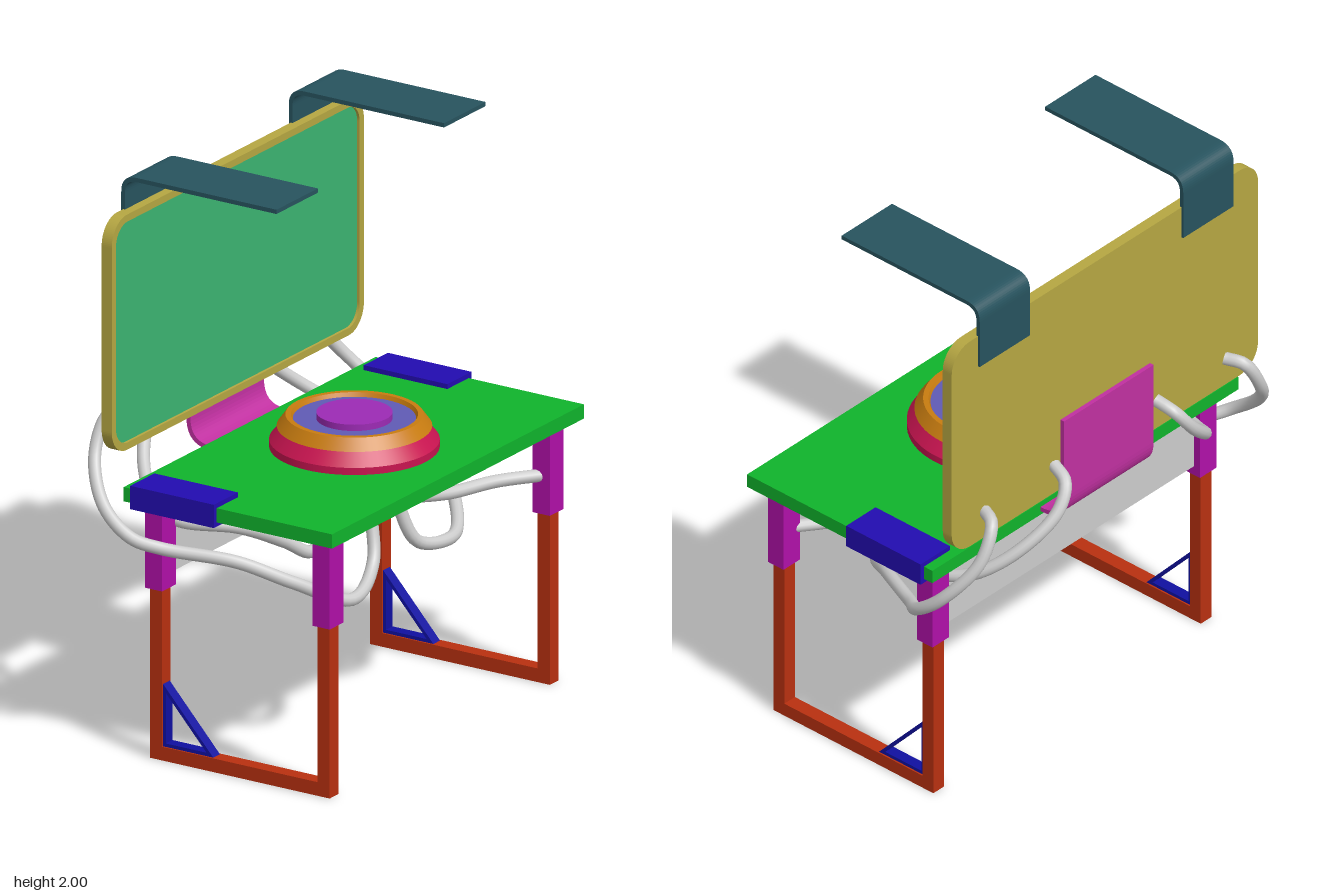
import * as THREE from 'three';

const mat = (color) => new THREE.MeshStandardMaterial({ color, side: THREE.DoubleSide });
const M = {
  desk: mat(0x10b32c), frame: mat(0xb5a642), screen: mat(0x3cb371), arm: mat(0x27535e),
  mount: mat(0xc030a0), clamp: mat(0x220cb0), sleeve: mat(0xb010a8), leg: mat(0xb83010),
  brace: mat(0x1010a0), crimson: mat(0xc81450), orange: mat(0xc87c10), disc: mat(0x605ab4),
  hub: mat(0x9c2ab4), grey: mat(0xcccccc),
};

export function createModel() {
  const root = new THREE.Group();

  const add = (name, geometry, material, parent = root) => {
    const mesh = new THREE.Mesh(geometry, material);
    mesh.name = name;
    parent.add(mesh);
    return mesh;
  };
  // box given by its extents on each axis
  const box = (name, [x0, x1], [y0, y1], [z0, z1], material, parent) => {
    const mesh = add(name, new THREE.BoxGeometry(x1 - x0, y1 - y0, z1 - z0), material, parent);
    mesh.position.set((x0 + x1) / 2, (y0 + y1) / 2, (z0 + z1) / 2);
    return mesh;
  };
  const extrude = (shape, depth) =>
    new THREE.ExtrudeGeometry(shape, { depth, bevelEnabled: false, curveSegments: 12 });

  // strip that rises or drops from y0, then bends to run along y1 out to x1
  const bentStrip = (x0, x1, y0, y1, r, t, width) => {
    const s = Math.sign(y1 - y0);
    const p = new THREE.Shape();
    p.moveTo(x0, y0);
    p.lineTo(x0, y1 - s * r);
    p.quadraticCurveTo(x0, y1, x0 + r, y1);
    p.lineTo(x1, y1);
    p.lineTo(x1, y1 - s * t);
    p.lineTo(x0 + r, y1 - s * t);
    p.quadraticCurveTo(x0 + t, y1 - s * t, x0 + t, y1 - s * r);
    p.lineTo(x0 + t, y0);
    p.closePath();
    return extrude(p, width).translate(0, 0, -width / 2);
  };

  const roundedRect = (w, h, r, Type = THREE.Shape) => {
    const p = new Type();
    p.absarc(w / 2 - r, h / 2 - r, r, 0, Math.PI / 2);
    p.absarc(-w / 2 + r, h / 2 - r, r, Math.PI / 2, Math.PI);
    p.absarc(-w / 2 + r, -h / 2 + r, r, Math.PI, Math.PI * 1.5);
    p.absarc(w / 2 - r, -h / 2 + r, r, Math.PI * 1.5, Math.PI * 2);
    p.closePath();
    return p;
  };

  // desk top and the panel between the rear legs
  box('deskTop', [-0.315, 0.51], [0.91, 0.96], [-0.752, 0.752], M.desk);
  box('modestyPanel', [-0.24, -0.225], [0.635, 0.88], [-0.62, 0.62], M.grey);

  // upright screen: rim, back and recessed panel
  const display = new THREE.Group();
  display.name = 'display';
  display.rotation.y = Math.PI / 2;
  display.position.set(-0.402, 1.467, 0);
  root.add(display);
  const rim = roundedRect(1.505, 0.826, 0.09);
  rim.holes.push(roundedRect(1.455, 0.776, 0.07, THREE.Path));
  add('displayRim', extrude(rim, 0.04), M.frame, display);
  add('displayBack', extrude(roundedRect(1.5, 0.82, 0.088), 0.02), M.frame, display);
  add('displayPanel', extrude(roundedRect(1.456, 0.777, 0.07), 0.008), M.screen, display)
    .position.z = 0.022;

  // curved bracket joining the screen to the desk
  add('screenMount', bentStrip(-0.42, -0.28, 1.335, 0.925, 0.1, 0.016, 0.44), M.mount);

  // dial unit set into the desk
  const dial = new THREE.Group();
  dial.name = 'dial';
  dial.position.set(0.1, 0, 0);
  root.add(dial);
  const lathe = (name, pts, material) => {
    // each straight run gets its own surface so the edges stay crisp
    const part = new THREE.Group();
    part.name = name;
    dial.add(part);
    for (let i = 0; i < pts.length - 1; i++) {
      const run = [pts[i], pts[i + 1]].map(([r, y]) => new THREE.Vector2(r, y));
      add(name, new THREE.LatheGeometry(run, 64), material, part);
    }
  };
  lathe('dialFlange', [[0.25, 0.91], [0.25, 0.88], [0.285, 0.88], [0.285, 0.915]], M.sleeve);
  lathe('dialUnderside', [[0, 0.892], [0.25, 0.892]], M.frame);
  lathe('dialBase', [[0.282, 0.95], [0.282, 0.985], [0.245, 1.03], [0.2, 1.03]], M.crimson);
  lathe('dialRim', [[0.235, 1.025], [0.257, 1.032], [0.228, 1.072], [0.21, 1.072], [0.2, 1.05]], M.orange);
  lathe('dialFace', [[0.206, 1.058], [0, 1.058]], M.disc);
  lathe('dialHub', [[0.126, 1.055], [0.126, 1.08], [0, 1.08]], M.hub);

  // parts repeated at both ends of the desk
  for (const s of [1, -1]) {
    const zr = (c, half) => [s * c - half, s * c + half];

    add('overheadArm', bentStrip(-0.41, 0.205, 1.76, 2, 0.06, 0.015, 0.247), M.arm)
      .position.z = s * 0.5;
    box('deskClamp', [-0.278, 0.053], [0.895, 0.977], zr(0.697, 0.072), M.clamp);

    const legs = new THREE.Group();
    legs.name = 'legFrame';
    root.add(legs);
    for (const x of [-0.233, 0.431]) {
      box('leg', [x - 0.024, x + 0.024], [0, 0.65], zr(0.657, 0.026), M.leg, legs);
      box('legSleeve', [x - 0.034, x + 0.034], [0.6, 0.912], zr(0.657, 0.041), M.sleeve, legs);
    }
    box('footBar', [-0.21, 0.41], [0, 0.048], zr(0.657, 0.026), M.leg, legs);

    // open triangular brace
    const tri = new THREE.Shape([[-0.21, 0.048], [-0.01, 0.048], [-0.21, 0.268]]
      .map(([x, y]) => new THREE.Vector2(x, y)));
    tri.holes.push(new THREE.Path([[-0.198, 0.06], [-0.198, 0.237], [-0.037, 0.06]]
      .map(([x, y]) => new THREE.Vector2(x, y))));
    add('cornerBrace', extrude(tri, 0.04), M.brace, legs).position.z = s * 0.657 - 0.02;
  }

  // cables from the screen back and the legs to the underside of the dial
  const cable = (pts) => {
    const curve = new THREE.CatmullRomCurve3(pts.map((p) => new THREE.Vector3(...p)));
    add('cable', new THREE.TubeGeometry(curve, 90, 0.022, 12), M.grey);
  };
  for (const s of [1, -1]) {
    const low = s > 0 ? 0.55 : 0.59;
    cable([[-0.4, 1.16, 0.59 * s], [-0.46, 1.15, 0.62 * s], [-0.47, 1.03, 0.69 * s],
      [-0.38, 0.89, 0.775 * s], [-0.27, 0.8, 0.78 * s], [-0.19, 0.76, 0.72 * s],
      [0.03, 0.72, 0.6 * s], [0.18, 0.64, 0.48 * s], [0.29, low, 0.3 * s],
      [0.26, 0.62, 0.13 * s], [0.22, 0.76, 0.08 * s], [0.2, 0.895, 0.07 * s]]);
    cable([[-0.4, 1.17, 0.25 * s], [-0.47, 1.14, 0.27 * s], [-0.49, 1.06, 0.33 * s],
      [-0.43, 0.94, 0.46 * s], [-0.32, 0.85, 0.56 * s], [-0.2, 0.82, 0.6 * s],
      [-0.03, 0.8, 0.5 * s], [0.02, 0.7, 0.3 * s], [0.06, 0.64, 0.19 * s],
      [0.03, 0.74, 0.06 * s], [0, 0.895, 0.03 * s]]);
  }
  cable([[0.42, 0.87, 0.63], [0.3, 0.86, 0.56], [0.15, 0.8, 0.38], [0.06, 0.76, 0.2],
    [0.08, 0.79, 0.08], [0.12, 0.895, 0.05]]);
  cable([[0.42, 0.73, -0.63], [0.33, 0.73, -0.5], [0.25, 0.73, -0.3], [0.2, 0.78, -0.12],
    [0.16, 0.895, -0.03]]);

  return root;
}
